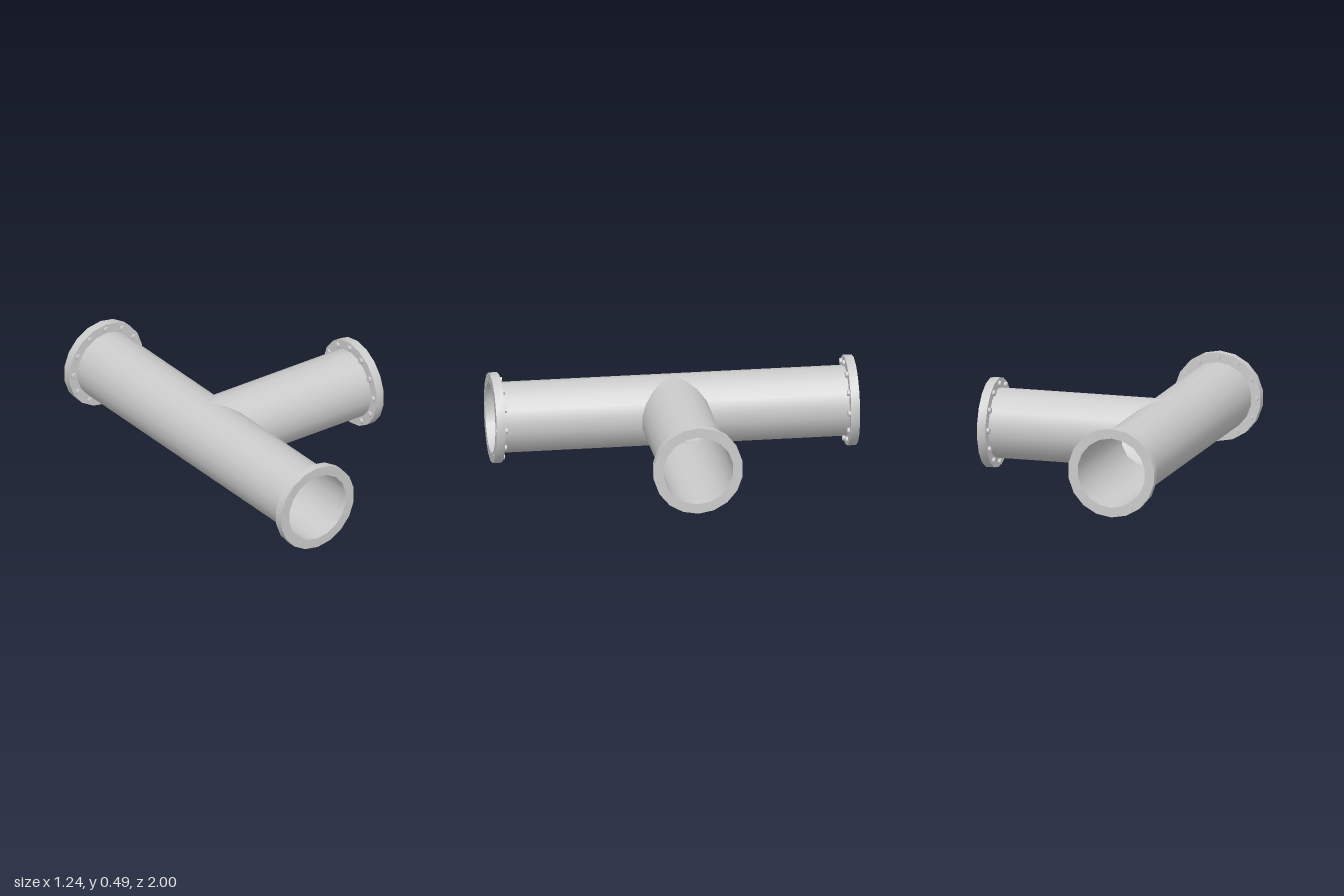
import * as THREE from 'three';
import { toCreasedNormals } from 'three/addons/utils/BufferGeometryUtils.js';

const SIDES = 18, PIPE_R = 0.193, FLANGE_R = 0.247, LENGTH = 1, FLANGE_T = 0.05;
const BOLTS = 12, BOLT_R = 0.016, BOLT_CIRCLE = 0.217;

const metal = new THREE.MeshStandardMaterial({ color: 0xcccccc });
const thinMetal = new THREE.MeshStandardMaterial({ color: 0xcccccc, side: THREE.DoubleSide });

// Thin open tube along +z; its inner end is mitred by start(x)
function pipeGeometry(start) {
  const g = new THREE.CylinderGeometry(PIPE_R, PIPE_R, LENGTH, SIDES, 1, true);
  g.rotateX(Math.PI / 2);
  const p = g.attributes.position;
  for (let i = 0; i < p.count; i++) {
    p.setZ(i, p.getZ(i) > 0 ? LENGTH - 0.002 : start(p.getX(i)));
  }
  return g;
}

// Flat ring that closes the end of an arm
function flangeGeometry() {
  const back = LENGTH - FLANGE_T, front = LENGTH - 0.001;
  const profile = [
    [PIPE_R, back], [FLANGE_R, back], [FLANGE_R, front], [PIPE_R, front], [PIPE_R, back],
  ].map(([r, y]) => new THREE.Vector2(r, y));
  const g = new THREE.LatheGeometry(profile, SIDES);
  g.rotateX(Math.PI / 2);
  return toCreasedNormals(g, 0.6);
}

// One arm: pipe, flange and a circle of bolts, pointing along +z
function makeArm(name, start, turn) {
  const arm = new THREE.Group();
  arm.name = name;
  const add = (part, geometry, material) => {
    const mesh = new THREE.Mesh(geometry, material);
    mesh.name = part;
    arm.add(mesh);
    return mesh;
  };
  add('pipe', pipeGeometry(start), thinMetal);
  add('flange', flangeGeometry(), metal);

  // Bolts pass through the flange, heads on its inner side
  const boltBack = LENGTH - FLANGE_T - 0.014;
  const bolt = new THREE.CylinderGeometry(BOLT_R, BOLT_R, LENGTH - boltBack, 12);
  bolt.rotateX(Math.PI / 2);
  for (let i = 0; i < BOLTS; i++) {
    const a = (i / BOLTS) * Math.PI * 2;
    add('bolt', bolt, metal).position.set(
      BOLT_CIRCLE * Math.sin(a), BOLT_CIRCLE * Math.cos(a), (LENGTH + boltBack) / 2);
  }
  arm.rotation.y = turn;
  return arm;
}

export function createModel() {
  const model = new THREE.Group();
  model.name = 'teePipe';
  const tee = new THREE.Group();
  tee.name = 'pipeArms';
  // The main run is cut on its +x side, the branch on both sides
  tee.add(
    makeArm('frontArm', (x) => Math.max(0, x), 0),
    makeArm('backArm', (x) => Math.max(0, -x), Math.PI),
    makeArm('branchArm', (x) => Math.abs(x), Math.PI / 2),
  );
  tee.position.set(-0.38, FLANGE_R, 0);
  model.add(tee);
  return model;
}
